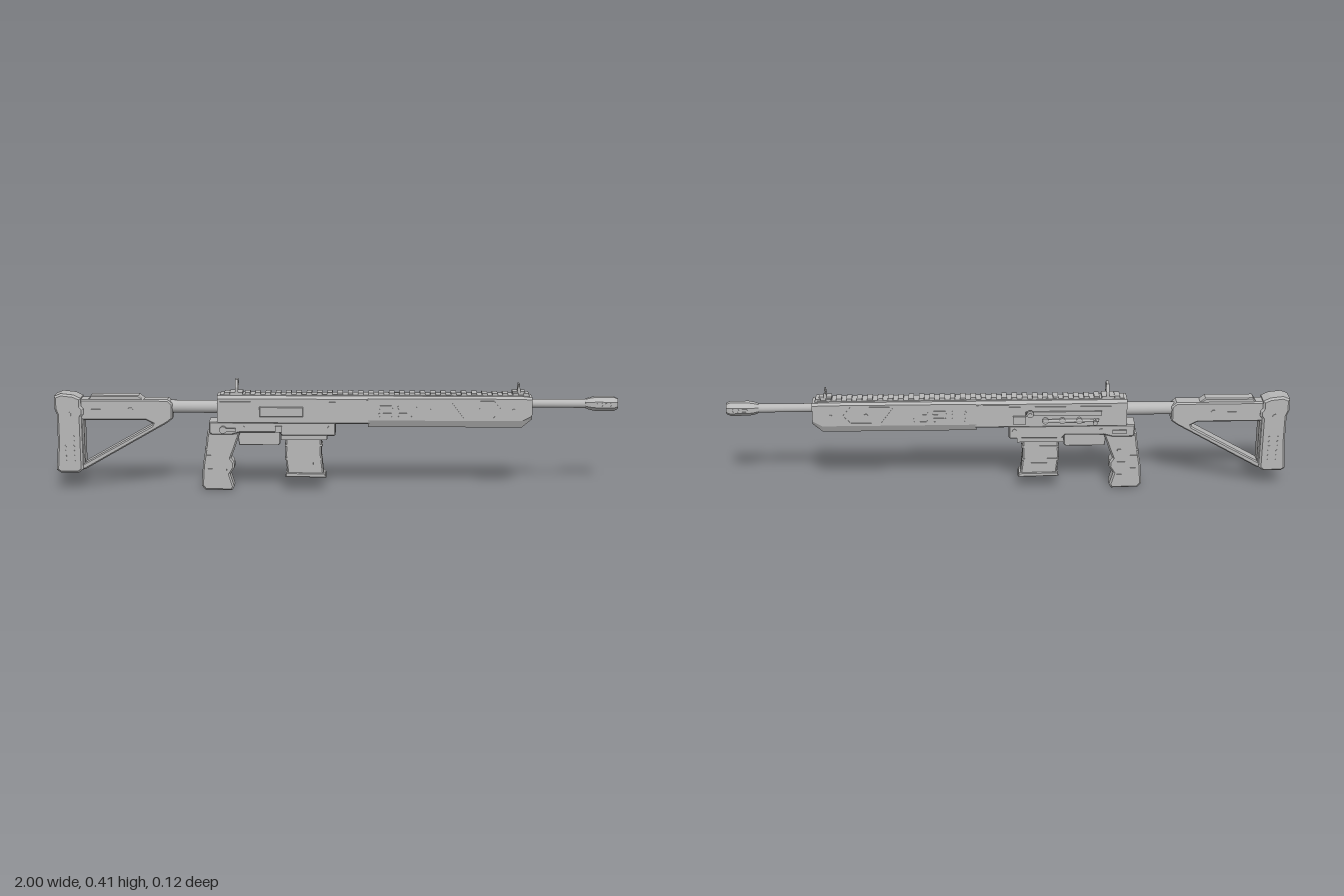
import * as THREE from 'three';

export function createModel() {
  const model = new THREE.Group();
  const root = new THREE.Group();
  root.name = 'body';
  root.position.z = 0.011;
  model.add(root);
  const grey = new THREE.MeshStandardMaterial({ color: 0xb8b8b8 });
  grey.name = 'grey';

  function add(name, geo, x = 0, y = 0, z = 0) {
    const m = new THREE.Mesh(geo, grey);
    m.name = name;
    m.position.set(x, y, z);
    root.add(m);
    return m;
  }
  // box given by its limits in x and y, and centre and depth in z
  const box = (name, x0, x1, y0, y1, z, d) =>
    add(name, new THREE.BoxGeometry(x1 - x0, y1 - y0, d), (x0 + x1) / 2, (y0 + y1) / 2, z);
  // side outline extruded across z with chamfered edges
  function plate(name, pts, half, bevel = 0.005, hole = null, z = 0) {
    const shape = new THREE.Shape(pts.map(p => new THREE.Vector2(...p)));
    if (hole) shape.holes.push(new THREE.Path(hole.map(p => new THREE.Vector2(...p))));
    const depth = 2 * (half - bevel);
    const geo = new THREE.ExtrudeGeometry(shape, {
      depth, bevelEnabled: bevel > 0, bevelThickness: bevel, bevelSize: bevel, bevelOffset: -bevel, bevelSegments: 1,
    });
    geo.translate(0, 0, -depth / 2);
    return add(name, geo, 0, 0, z);
  }
  // faceted loft along x through convex rings of [-z, y] points
  function loft(name, sections) {
    const pos = [];
    const put = (x, p) => pos.push(x, p[1], -p[0]);
    const n = sections[0][1].length;
    for (let s = 0; s < sections.length - 1; s++) {
      const [xa, a] = sections[s], [xb, b] = sections[s + 1];
      for (let j = 0; j < n; j++) {
        const k = (j + 1) % n;
        put(xa, a[j]); put(xa, a[k]); put(xb, b[k]);
        put(xa, a[j]); put(xb, b[k]); put(xb, b[j]);
      }
    }
    const [x0, first] = sections[0], [x1, last] = sections[sections.length - 1];
    for (let j = 1; j < n - 1; j++) {
      put(x0, first[0]); put(x0, first[j + 1]); put(x0, first[j]);
      put(x1, last[0]); put(x1, last[j]); put(x1, last[j + 1]);
    }
    const geo = new THREE.BufferGeometry();
    geo.setAttribute('position', new THREE.Float32BufferAttribute(pos, 3));
    geo.computeVertexNormals();
    return add(name, geo);
  }
  // box section with chamfered corners
  const ring = (h, y0, y1, top, bx, by) => [
    [h, y0 + by], [h, y1 - top], [h - top, y1], [top - h, y1],
    [-h, y1 - top], [-h, y0 + by], [bx - h, y0], [h - bx, y0],
  ];
  const rod = (name, x0, x1, r, y, z = 0, sides = 24) => {
    const g = new THREE.CylinderGeometry(r, r, x1 - x0, sides);
    g.rotateZ(Math.PI / 2);
    return add(name, g, (x0 + x1) / 2, y, z);
  };
  const disc = (name, x, y, z, r, d, sides = 16) => {
    const g = new THREE.CylinderGeometry(r, r, d, sides);
    g.rotateX(Math.PI / 2);
    return add(name, g, x, y, z);
  };
  // rounded slot trim on a side wall
  const slot = (name, x0, x1, y, r, z) => {
    const s = new THREE.Shape();
    s.absarc(x1 - r, y, r, -Math.PI / 2, Math.PI / 2, false);
    s.absarc(x0 + r, y, r, Math.PI / 2, Math.PI * 1.5, false);
    const h = new THREE.Path();
    h.absarc(x1 - r, y, r * 0.65, -Math.PI / 2, Math.PI / 2, false);
    h.absarc(x0 + r, y, r * 0.65, Math.PI / 2, Math.PI * 1.5, false);
    s.holes.push(h);
    add(name, new THREE.ExtrudeGeometry(s, { depth: 0.003, bevelEnabled: false, curveSegments: 6 }), 0, 0, z - 0.0015);
  };

  // stock: butt, skeleton arm, cheek rest, tube
  plate('butt', [[-1, 0.075], [-0.985, 0.065], [-0.92, 0.065], [-0.905, 0.078], [-0.905, 0.27], [-0.897, 0.28],
    [-0.897, 0.3], [-0.905, 0.31], [-0.905, 0.338], [-0.93, 0.35], [-0.975, 0.355], [-1, 0.345], [-1, 0.3],
    [-0.992, 0.28], [-0.992, 0.18]], 0.036, 0.007);
  plate('stockFrame', [[-0.92, 0.07], [-0.895, 0.078], [-0.6, 0.248], [-0.58, 0.264], [-0.58, 0.318], [-0.597, 0.333],
    [-0.92, 0.333]], 0.027, 0.005, [[-0.898, 0.1], [-0.898, 0.258], [-0.675, 0.258], [-0.652, 0.246], [-0.656, 0.238]]);
  plate('cheekRest', [[-0.885, 0.325], [-0.87, 0.347], [-0.7, 0.347], [-0.67, 0.325]], 0.022, 0.004);
  rod('bufferTube', -0.6, -0.41, 0.023, 0.304);
  for (const s of [1, -1]) {
    for (let i = 0; i < 6; i++) for (let j = 0; j < 2; j++)
      disc('buttStud', -0.965 + j * 0.03, 0.11 + i * 0.018, s * 0.036, 0.004, 0.004, 8);
    disc('buttScrew', -0.95, 0.28, s * 0.036, 0.01, 0.005);
    disc('stockPin', -0.73, 0.295, s * 0.027, 0.01, 0.005);
    box('stockRib', -0.87, -0.78, 0.288, 0.298, s * 0.027, 0.004);
  }

  // receiver
  loft('upperReceiver', [[-0.42, ring(0.038, 0.25, 0.35, 0.01, 0.004, 0.004)], [0.12, ring(0.038, 0.25, 0.35, 0.01, 0.004, 0.004)]]);
  plate('lowerReceiver', [[-0.45, 0.255], [-0.45, 0.215], [-0.44, 0.208], [-0.37, 0.208], [-0.34, 0.217], [-0.2, 0.217],
    [-0.19, 0.205], [-0.005, 0.205], [0, 0.21], [0, 0.255]], 0.036, 0.004);
  box('magazineCollar', -0.195, -0.03, 0.19, 0.207, 0, 0.066);
  plate('ejectionPort', [[-0.27, 0.276], [-0.27, 0.312], [-0.115, 0.312], [-0.115, 0.276]], 0.006, 0.002,
    [[-0.26, 0.284], [-0.26, 0.304], [-0.125, 0.304], [-0.125, 0.284]], 0.038);
  box('boltCover', -0.262, -0.123, 0.282, 0.306, 0.038, 0.005);
  for (const s of [1, -1]) {
    box('sideStrip', -0.41, 0.0, 0.318, 0.33, s * 0.038, 0.006);
    box('frontCollar', 0.0, 0.115, 0.3, 0.338, s * 0.038, 0.008);
    disc('receiverPin', -0.02, 0.235, s * 0.036, 0.008, 0.006);
    disc('receiverPin', -0.33, 0.235, s * 0.036, 0.007, 0.006);
  }
  // selector and catch
  disc('selectorHub', -0.4, 0.228, 0.038, 0.013, 0.018);
  box('selectorLever', -0.4, -0.355, 0.222, 0.234, 0.044, 0.009);
  box('magazineCatch', -0.215, -0.19, 0.22, 0.242, 0.038, 0.012);
  box('boltCatch', -0.06, -0.015, 0.265, 0.295, -0.04, 0.012);
  box('rearLever', -0.42, -0.37, 0.222, 0.236, -0.038, 0.01);

  // charging handle and dials on the right side
  box('handleTrack', -0.33, -0.06, 0.296, 0.312, -0.039, 0.01);
  disc('handleStem', -0.075, 0.31, -0.05, 0.006, 0.03);
  disc('handleKnob', -0.075, 0.31, -0.057, 0.0125, 0.01);
  rod('linkRod', -0.32, -0.12, 0.006, 0.277, -0.044, 10);
  disc('dialStem', -0.305, 0.277, -0.05, 0.005, 0.04);
  disc('dialKnob', -0.305, 0.277, -0.066, 0.008, 0.01);
  for (const x of [-0.25, -0.19, -0.13]) disc('linkBoss', x, 0.277, -0.043, 0.011, 0.012);

  // handguard with chamfered nose
  loft('handguard', [
    [0.115, ring(0.04, 0.238, 0.351, 0.008, 0.012, 0.026)],
    [0.66, ring(0.04, 0.238, 0.351, 0.008, 0.012, 0.026)],
    [0.695, ring(0.037, 0.268, 0.347, 0.008, 0.009, 0.014)],
  ]);
  for (const s of [1, -1]) {
    for (let i = 0; i < 3; i++) for (const y of [0.283, 0.31])
      slot('ventSlot', 0.15 + i * 0.068, 0.205 + i * 0.068, y, 0.008, s * 0.04);
    plate('sidePanel', [[0.4, 0.336], [0.45, 0.27], [0.56, 0.27], [0.59, 0.3], [0.56, 0.336]], 0.002, 0,
      [[0.41, 0.331], [0.452, 0.275], [0.558, 0.275], [0.583, 0.3], [0.557, 0.331]], s * 0.04);
    disc('guardScrew', 0.505, 0.302, s * 0.04, 0.008, 0.005);
    disc('guardScrew', 0.63, 0.302, s * 0.04, 0.006, 0.005);
  }

  // top rail
  box('railBase', -0.41, 0.685, 0.346, 0.353, 0, 0.044);
  for (let i = 0; i < 30; i++) {
    const x = -0.395 + i * 0.0365;
    box('railTooth', x, x + 0.019, 0.352, 0.36, 0, 0.042);
  }

  // barrel and muzzle
  rod('barrel', 0.68, 0.9, 0.0155, 0.32);
  const oct = r => Array.from({ length: 8 }, (_, i) => {
    const a = (i + 0.5) * Math.PI / 4;
    return [r * Math.cos(a), 0.32 + r * Math.sin(a)];
  });
  loft('muzzle', [[0.885, oct(0.017)], [0.898, oct(0.022)], [0.92, oct(0.0265)], [0.985, oct(0.0265)], [0.999, oct(0.02)]]);
  rod('bore', 0.99, 1, 0.011, 0.32);
  for (const s of [1, -1]) for (let i = 0; i < 2; i++)
    slot('muzzleSlot', 0.922 + i * 0.03, 0.947 + i * 0.03, 0.32, 0.007, s * 0.0245);

  // front sight: post between two ears
  box('frontSightBase', 0.625, 0.67, 0.352, 0.366, 0, 0.03);
  const spike = (name, z, r, top) =>
    add(name, new THREE.CylinderGeometry(r * 0.4, r, top - 0.362, 6), 0.648, (top + 0.362) / 2, z);
  spike('frontPost', 0, 0.004, 0.38);
  for (const s of [1, -1]) spike('frontEar', s * 0.011, 0.007, 0.392);

  // rear sight: flat hoop across the rail
  const hoop = new THREE.Shape([[-0.028, 0.348], [0.028, 0.348], [0.028, 0.38], [0.014, 0.405], [-0.014, 0.405], [-0.028, 0.38]]
    .map(p => new THREE.Vector2(...p)));
  hoop.holes.push(new THREE.Path([[-0.022, 0.36], [0.022, 0.36], [0.022, 0.378], [0.011, 0.399], [-0.011, 0.399], [-0.022, 0.378]]
    .map(p => new THREE.Vector2(...p))));
  const hoopGeo = new THREE.ExtrudeGeometry(hoop, { depth: 0.01, bevelEnabled: false });
  hoopGeo.rotateY(Math.PI / 2);
  add('rearSight', hoopGeo, -0.356);
  box('rearSightBase', -0.375, -0.33, 0.348, 0.361, 0, 0.05);

  // grip with finger grooves
  plate('grip', [[-0.458, 0.215], [-0.466, 0.15], [-0.476, 0.09], [-0.481, 0.018], [-0.468, 0.002], [-0.372, 0],
    [-0.364, 0.014], [-0.378, 0.06], [-0.362, 0.085], [-0.364, 0.105], [-0.374, 0.12], [-0.362, 0.15], [-0.352, 0.18],
    [-0.34, 0.215]], 0.028, 0.006);
  for (const s of [1, -1]) for (let i = 0; i < 5; i++)
    box('gripRib', -0.455 - i * 0.003, -0.39, 0.05 + i * 0.025, 0.056 + i * 0.025, s * 0.028, 0.003);

  // trigger and guard
  plate('triggerGuard', [[-0.352, 0.215], [-0.345, 0.165], [-0.205, 0.165], [-0.198, 0.172], [-0.198, 0.22]], 0.014, 0.002,
    [[-0.343, 0.214], [-0.338, 0.173], [-0.21, 0.173], [-0.207, 0.176], [-0.207, 0.214]]);
  plate('trigger', [[-0.3, 0.22], [-0.294, 0.195], [-0.305, 0.178], [-0.297, 0.176], [-0.282, 0.195], [-0.282, 0.22]], 0.006, 0.001);

  // magazine
  plate('magazine', [[-0.178, 0.2], [-0.18, 0.13], [-0.172, 0.06], [-0.042, 0.06], [-0.05, 0.13], [-0.05, 0.2]], 0.026, 0.005);
  plate('magazineFloor', [[-0.18, 0.052], [-0.178, 0.068], [-0.036, 0.066], [-0.033, 0.05]], 0.03, 0.003);
  for (const y of [0.115, 0.165]) box('magazineBand', -0.181, -0.046, y, y + 0.007, 0, 0.056);
  for (const s of [1, -1]) box('magazineRib', -0.145, -0.08, 0.078, 0.105, s * 0.026, 0.004);

  return model;
}
